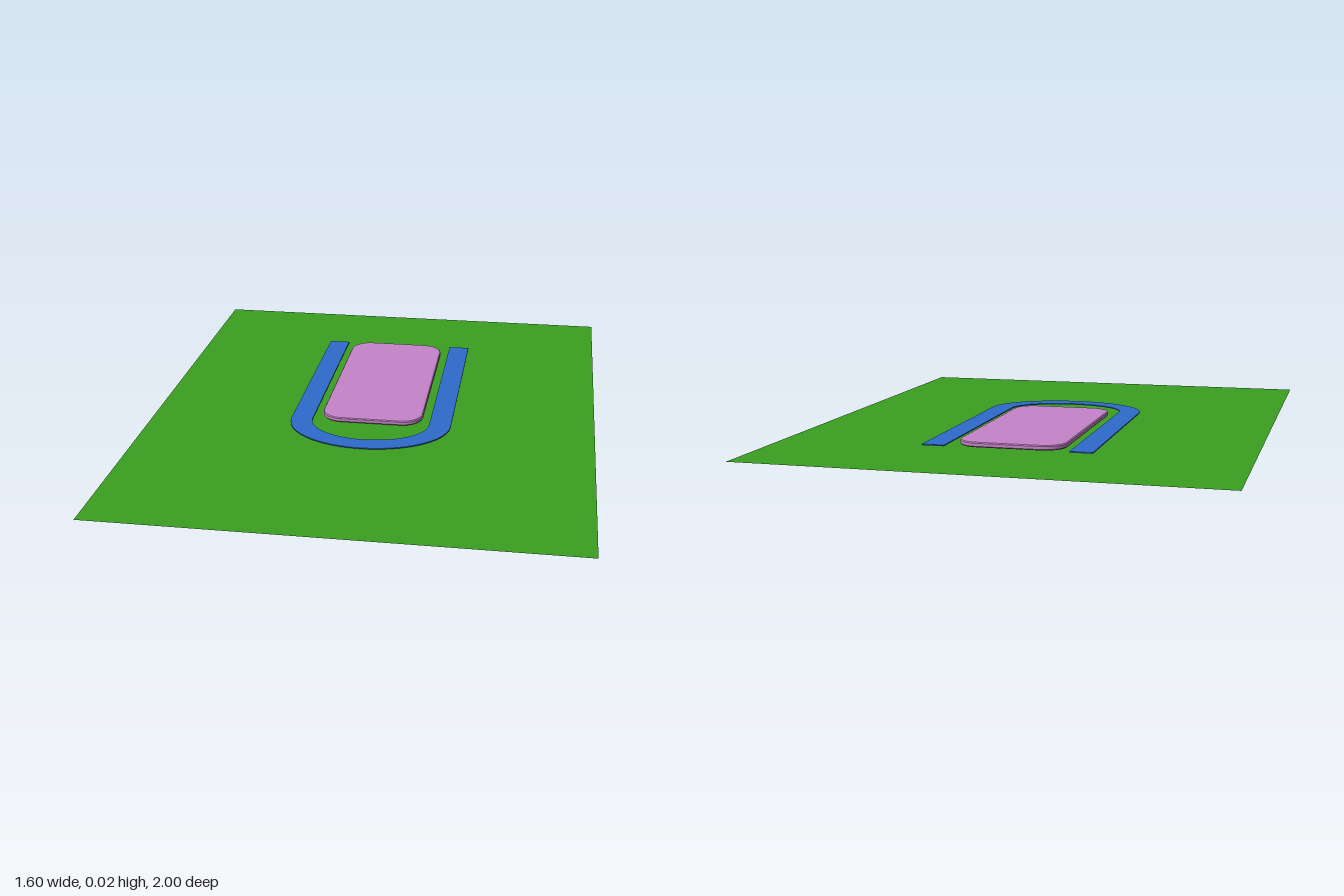
import * as THREE from 'three';

const material = (name, color, side = THREE.FrontSide) => {
  const m = new THREE.MeshStandardMaterial({ color, side });
  m.name = name;
  return m;
};

// Extrudes a plan shape (drawn with y = -z) upwards from the given height
function slab(name, shape, bottom, options, mat) {
  const geometry = new THREE.ExtrudeGeometry(shape, options);
  geometry.rotateX(-Math.PI / 2);
  geometry.computeBoundingBox();
  geometry.translate(0, bottom - geometry.boundingBox.min.y, 0);
  const mesh = new THREE.Mesh(geometry, mat);
  mesh.name = name;
  return mesh;
}

function roundedRect(x, z0, z1, r) {
  const s = new THREE.Shape();
  s.absarc(x - r, -z0 - r, r, 0, Math.PI / 2);
  s.absarc(-x + r, -z0 - r, r, Math.PI / 2, Math.PI);
  s.absarc(-x + r, -z1 + r, r, Math.PI, Math.PI * 1.5);
  s.absarc(x - r, -z1 + r, r, Math.PI * 1.5, Math.PI * 2);
  s.closePath();
  return s;
}

// U-shaped band: two straight arms joined by an elliptical bend at the front
function bandShape() {
  const back = -0.63, bend = 0.165, outer = 0.29, inner = 0.212;
  const s = new THREE.Shape();
  s.moveTo(-outer, -back);
  s.lineTo(-outer, -bend);
  s.absellipse(0, -bend, outer, 0.222, Math.PI, Math.PI * 2, false);
  s.lineTo(outer, -back);
  s.lineTo(inner, -back);
  s.lineTo(inner, -bend);
  s.absellipse(0, -bend, inner, 0.152, Math.PI * 2, Math.PI, true);
  s.lineTo(-inner, -back);
  s.closePath();
  return s;
}

export function createModel() {
  const group = new THREE.Group();
  group.name = 'lawnPlan';

  // Flat lawn sheet
  const lawnGeometry = new THREE.PlaneGeometry(1.6, 2).rotateX(-Math.PI / 2);
  const lawn = new THREE.Mesh(lawnGeometry, material('grass green', 0x3ba021, THREE.DoubleSide));
  lawn.name = 'lawn';

  // Thin path around the block
  const path = slab('path', bandShape(), 0.008,
    { depth: 0.004, bevelEnabled: false, curveSegments: 12 },
    material('path blue', 0x2f6acb));

  // Low rounded block with bevelled rim
  const bevel = 0.01;
  const block = slab('block', roundedRect(0.183 - bevel, -0.61 + bevel, 0.17 - bevel, 0.065), 0.004,
    { depth: 0.01, bevelEnabled: true, bevelSize: bevel, bevelThickness: 0.005, bevelSegments: 2, curveSegments: 6 },
    material('block pink', 0xc583c9));

  group.add(lawn, path, block);
  return group;
}
